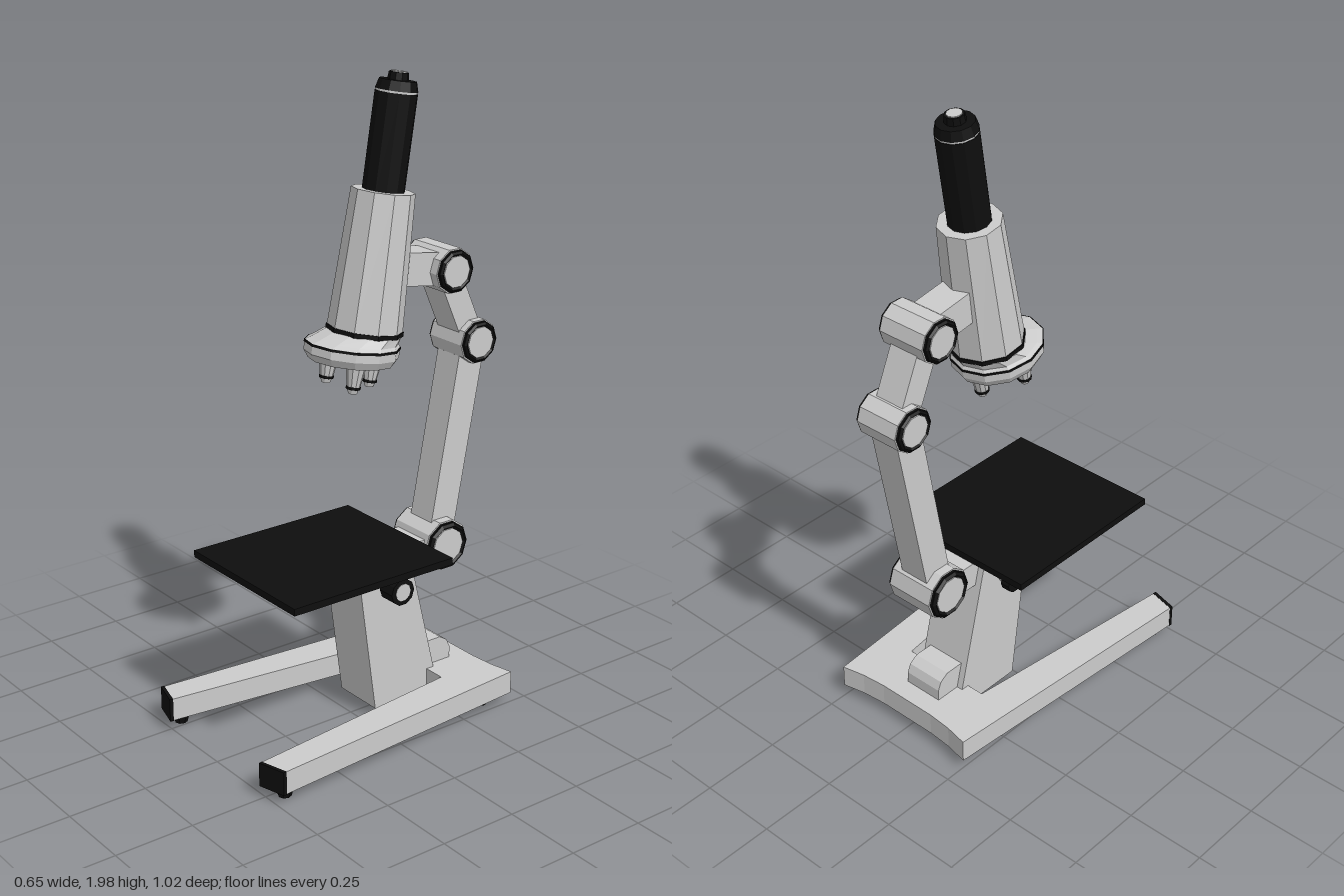
import * as THREE from 'three';

const grey = new THREE.MeshStandardMaterial({ color: 0xcccccc, flatShading: true });
const black = new THREE.MeshStandardMaterial({ color: 0x0e0e0e, flatShading: true });
const CX = -0.007; // the upright parts sit slightly off the middle

function add(parent, name, geo, mat, x = 0, y = 0, z = 0) {
  const mesh = new THREE.Mesh(geo, mat);
  mesh.name = name;
  mesh.position.set(x, y, z);
  parent.add(mesh);
  return mesh;
}

// Flat plan of [x, z] points, raised to the height h
function slab(points, h) {
  const shape = new THREE.Shape(points.map(([x, z]) => new THREE.Vector2(x, -z)));
  return new THREE.ExtrudeGeometry(shape, { depth: h, bevelEnabled: false }).rotateX(-Math.PI / 2);
}

// Side profile of [z, y] points, centred across the width w
function sideProfile(points, w) {
  const shape = new THREE.Shape(points.map(([z, y]) => new THREE.Vector2(z, y)));
  return new THREE.ExtrudeGeometry(shape, { depth: w, bevelEnabled: false })
    .rotateY(-Math.PI / 2).translate(w / 2, 0, 0);
}

// Cylinder lying along x
function axle(r, length, sides) {
  return new THREE.CylinderGeometry(r, r, length, sides).rotateZ(Math.PI / 2);
}

// Straight bar between two [z, y] points
function beam(parent, name, a, b, w, t) {
  const dz = b[0] - a[0], dy = b[1] - a[1];
  const bar = add(parent, name, new THREE.BoxGeometry(w, Math.hypot(dz, dy), t), grey,
    CX, (a[1] + b[1]) / 2, (a[0] + b[0]) / 2);
  bar.rotation.x = Math.atan2(dz, dy);
}

// Arm joint: barrel with a dark ring and a pale disc at each end
function joint(parent, name, [z, y], r, w) {
  const g = new THREE.Group();
  g.name = name;
  g.position.set(CX, y, z);
  add(g, 'jointBarrel', axle(r, w - 0.03, 10), grey);
  for (const s of [-1, 1]) {
    const x = s * (w / 2 - 0.01);
    add(g, 'jointRing', axle(r * 0.94, 0.012, 10), black, x - s * 0.004);
    add(g, 'jointRim', new THREE.TorusGeometry(r * 0.8, r * 0.12, 4, 10).rotateY(Math.PI / 2), black, x);
    add(g, 'jointDisc', axle(r * 0.7, 0.012, 10), grey, x);
  }
  parent.add(g);
}

function buildBase(root) {
  const right = [[0.1, -0.415], [0.18, -0.422], [0.255, -0.437], [0.323, 0.478], [0.236, 0.502], [0.15, -0.24]];
  const left = right.map(([x, z]) => [-x, z]).reverse();
  add(root, 'base', slab([...right, ...left], 0.073), grey, 0, 0.035);
  for (const s of [-1, 1]) {
    const cap = [[0.324, 0.477], [0.325, 0.488], [0.237, 0.512], [0.235, 0.501]].map(([x, z]) => [s * x, z]);
    add(root, 'legCap', slab(cap, 0.075), black, 0, 0.034);
    for (const [x, z] of [[0.275, 0.45], [0.2, -0.36]]) {
      add(root, 'foot', new THREE.CylinderGeometry(0.03, 0.02, 0.036, 8), black, s * x, 0.018, z);
    }
  }
}

function buildColumn(root) {
  add(root, 'column', sideProfile([[-0.035, 0.035], [0.035, 0.541], [-0.16, 0.541], [-0.285, 0.035]], 0.172), grey, CX);
  add(root, 'columnHeel', sideProfile(
    [[-0.2, 0.1], [-0.2, 0.19], [-0.31, 0.19], [-0.338, 0.172], [-0.35, 0.145], [-0.35, 0.1]], 0.13), grey, CX);
  add(root, 'jointBracket', new THREE.BoxGeometry(0.13, 0.085, 0.17), grey, CX, 0.498, -0.235);

  // Focus knobs
  add(root, 'knobShaft', axle(0.018, 0.24, 10), grey, CX, 0.445, -0.08);
  add(root, 'largeKnob', axle(0.043, 0.058, 10), black, 0.125, 0.445, -0.08);
  add(root, 'largeKnobDisc', axle(0.028, 0.004, 10), grey, 0.1535, 0.445, -0.08);
  add(root, 'smallKnob', axle(0.033, 0.031, 10), black, -0.13, 0.445, -0.08);

  // Stage: dark top with a pale underside
  add(root, 'stage', new THREE.BoxGeometry(0.515, 0.022, 0.582), black, CX, 0.552, 0.1);
  add(root, 'stageUnderside', new THREE.BoxGeometry(0.5, 0.004, 0.567), grey, CX, 0.54, 0.1);
}

function buildArm(root) {
  const low = [-0.315, 0.51], elbow = [-0.436, 1.145], high = [-0.33, 1.385];
  beam(root, 'lowerArm', low, elbow, 0.1, 0.095);
  beam(root, 'upperArm', elbow, high, 0.1, 0.08);
  beam(root, 'headBracket', high, [-0.1, 1.42], 0.1, 0.1);
  joint(root, 'lowerJoint', low, 0.083, 0.19);
  joint(root, 'elbowJoint', elbow, 0.07, 0.175);
  joint(root, 'upperJoint', high, 0.07, 0.19);
}

function buildHead(root) {
  const head = new THREE.Group();
  head.name = 'head';
  head.position.set(CX, 1.23, -0.055);
  head.rotation.x = -0.162;
  root.add(head);

  const ring = (name, rTop, rBottom, y0, y1, mat, sides = 10) =>
    add(head, name, new THREE.CylinderGeometry(rTop, rBottom, y1 - y0, sides), mat, 0, (y0 + y1) / 2);
  ring('body', 0.094, 0.112, 0.012, 0.42, grey);
  ring('bodyBand', 0.115, 0.115, 0, 0.014, black);
  ring('eyeTube', 0.063, 0.063, 0.41, 0.7, black, 12);
  ring('eyeTubeRing', 0.061, 0.061, 0.7, 0.706, grey, 12);
  ring('eyeTubeRim', 0.055, 0.063, 0.706, 0.735, black, 12);
  ring('eyepiece', 0.029, 0.031, 0.735, 0.757, black, 10);
  ring('eyepieceLens', 0.023, 0.023, 0.75, 0.76, grey, 10);

  // Nosepiece: stretched forward, its rings joined by a sloping shoulder
  const rings = [[0.113, 0.113, 0, 0.002], [0.122, 0.132, 0.03, -0.022], [0.131, 0.147, 0.038, -0.032],
    [0.131, 0.147, 0.038, -0.062], [0.118, 0.132, 0.036, -0.085]];
  const shoulder = new THREE.CylinderGeometry(1, 1, 1, 12, rings.length - 1);
  const p = shoulder.attributes.position;
  for (let i = 0; i < p.count; i++) {
    const [rx, rz, zc, y] = rings[Math.round((0.5 - p.getY(i)) * (rings.length - 1))];
    p.setXYZ(i, p.getX(i) * rx, y, p.getZ(i) * rz + zc);
  }
  add(head, 'nosepiece', shoulder, grey);
  add(head, 'nosepieceBand', new THREE.CylinderGeometry(1, 1, 0.007, 12).scale(0.133, 1, 0.149), black, 0, -0.035, 0.038);

  // Three objectives around the nosepiece
  for (let i = 0; i < 3; i++) {
    const a = Math.PI + i * Math.PI * 2 / 3;
    const x = Math.sin(a) * 0.075, z = 0.03 + Math.cos(a) * 0.075;
    add(head, 'objective', new THREE.CylinderGeometry(0.031, 0.02, 0.065, 10), grey, x, -0.113, z);
    add(head, 'objectiveBand', new THREE.CylinderGeometry(0.022, 0.022, 0.008, 10), black, x, -0.148, z);
    add(head, 'objectiveTip', new THREE.CylinderGeometry(0.018, 0.013, 0.016, 10), grey, x, -0.158, z);
  }
}

export function createModel() {
  const root = new THREE.Group();
  root.name = 'microscope';
  buildBase(root);
  buildColumn(root);
  buildArm(root);
  buildHead(root);
  return root;
}
